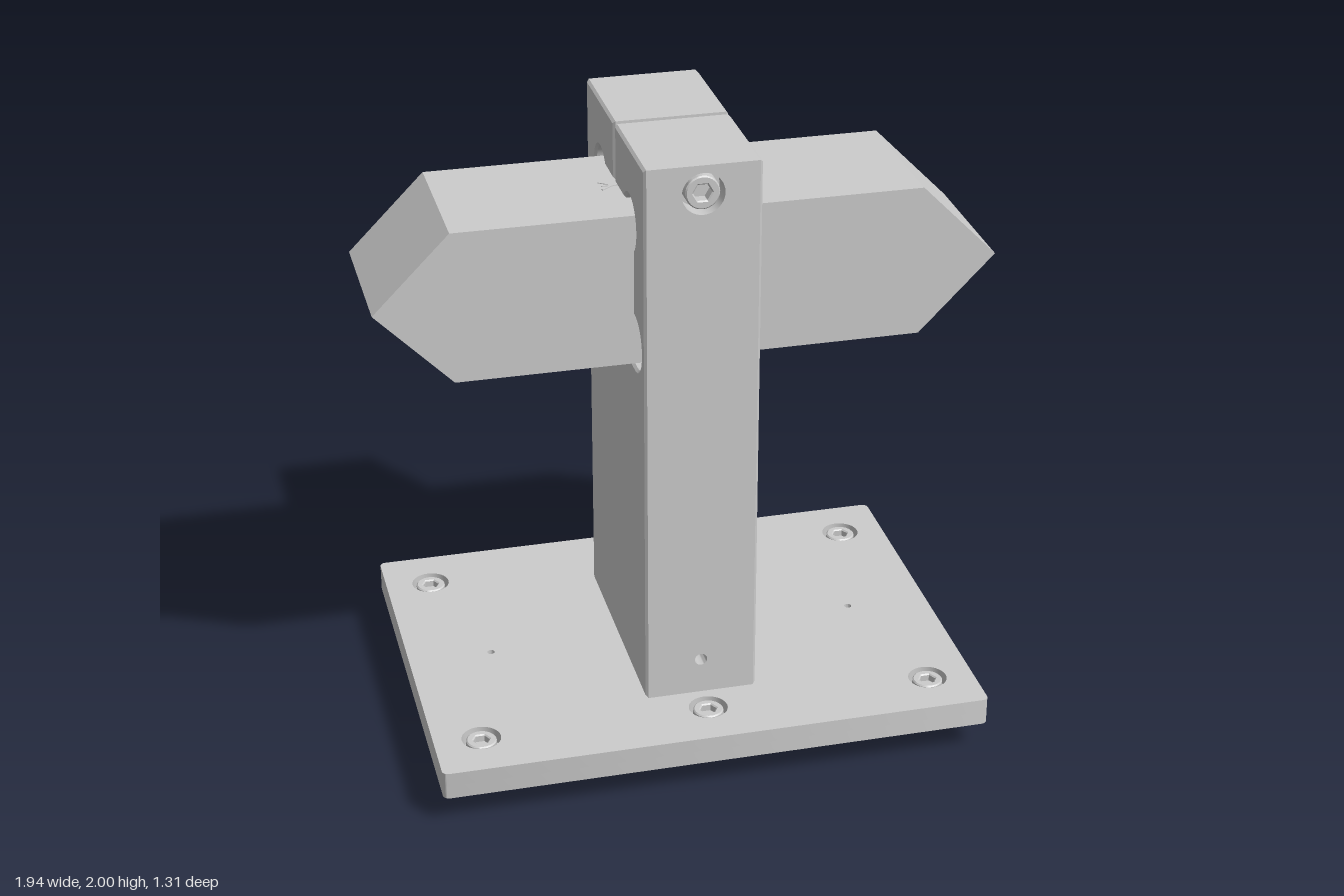
import * as THREE from 'three';
import { toCreasedNormals } from 'three/addons/utils/BufferGeometryUtils.js';

const grey = new THREE.MeshStandardMaterial({ color: 0xcccccc });
const greyDouble = new THREE.MeshStandardMaterial({ color: 0xcccccc, side: THREE.DoubleSide });

function add(parent, name, geometry, material = grey) {
  const mesh = new THREE.Mesh(geometry, material);
  mesh.name = name;
  parent.add(mesh);
  return mesh;
}

function circleHole(shape, x, y, r) {
  shape.holes.push(new THREE.Path().absarc(x, y, r, 0, Math.PI * 2, true));
}

function roundedRect(hx, hy, r) {
  const s = new THREE.Shape();
  s.absarc(hx - r, hy - r, r, 0, Math.PI / 2);
  s.absarc(-hx + r, hy - r, r, Math.PI / 2, Math.PI);
  s.absarc(-hx + r, -hy + r, r, Math.PI, Math.PI * 1.5);
  s.absarc(hx - r, -hy + r, r, Math.PI * 1.5, Math.PI * 2);
  s.closePath();
  return s;
}

// Socket-head screw along y; top of the head at y = 0
function socketScrew(name, headR, headH, shankR, length) {
  const g = new THREE.Group();
  g.name = name;
  const ring = new THREE.Shape().absarc(0, 0, headR, 0, Math.PI * 2);
  const hex = [];
  for (let i = 0; i < 6; i++) {
    const a = -i * Math.PI / 3;
    hex.push(new THREE.Vector2(Math.cos(a), Math.sin(a)).multiplyScalar(headR * 0.55));
  }
  ring.holes.push(new THREE.Path(hex).closePath());
  const b = 0.004;
  const head = new THREE.ExtrudeGeometry(ring, {
    depth: headH - 2 * b, bevelEnabled: true, bevelSize: b, bevelThickness: b,
    bevelOffset: -b, bevelSegments: 1, curveSegments: 16,
  });
  head.rotateX(-Math.PI / 2).translate(0, b - headH, 0);
  add(g, 'screwHead', toCreasedNormals(head, 0.5));
  const c = 0.006;
  const profile = [[0, -length], [shankR - c, -length], [shankR, -length + c], [shankR, -headH * 0.6], [0, -headH * 0.6]]
    .map(p => new THREE.Vector2(...p));
  add(g, 'screwShank', toCreasedNormals(new THREE.LatheGeometry(profile, 24), 0.5));
  return g;
}

// Blind hole lining, opening towards +z
function pocket(parent, name, r, depth, y, z) {
  const pts = [new THREE.Vector2(r, 0), new THREE.Vector2(r, -depth), new THREE.Vector2(0, -depth)];
  const geo = toCreasedNormals(new THREE.LatheGeometry(pts, 32), 0.5);
  add(parent, name, geo.rotateX(Math.PI / 2).translate(0, y, z), greyDouble);
}

function buildBase() {
  const base = new THREE.Group();
  base.name = 'base';
  const screws = [];
  for (const x of [-0.73, 0, 0.73]) for (const z of [-0.485, 0.485]) screws.push([x, z]);
  const underScrews = [];
  for (const x of [-0.118, 0.118]) for (const z of [-0.31, 0.31]) underScrews.push([x, z]);

  // Plate in two layers: counterbores open upwards in one, downwards in the other
  const top = roundedRect(0.88, 0.655, 0.02);
  const bottom = roundedRect(0.88, 0.655, 0.02);
  screws.forEach(([x, z]) => circleHole(top, x, z, 0.062));
  underScrews.forEach(([x, z]) => circleHole(bottom, x, z, 0.062));
  for (const s of [-1, 1]) {
    circleHole(top, s * 0.61, 0, 0.012);
    circleHole(bottom, 0, s * 0.245, 0.012);
  }
  [['plateTop', top, 0.145], ['plateBottom', bottom, 0.1]].forEach(([name, shape, y]) => {
    const geo = new THREE.ExtrudeGeometry(shape, { depth: 0.045, bevelEnabled: false, curveSegments: 16 });
    add(base, name, toCreasedNormals(geo.rotateX(-Math.PI / 2).translate(0, y, 0), 0.5));
  });

  // Mounting screws, column screws and locating pins
  screws.forEach(([x, z]) => {
    const s = socketScrew('mountingScrew', 0.048, 0.041, 0.03, 0.186);
    s.position.set(x, 0.186, z);
    base.add(s);
  });
  underScrews.forEach(([x, z]) => {
    const s = socketScrew('columnScrew', 0.048, 0.041, 0.03, 0.2);
    s.rotation.x = Math.PI;
    s.position.set(x, 0.104, z);
    base.add(s);
  });
  const pin = [[0, 0.035], [0.024, 0.035], [0.03, 0.041], [0.03, 0.14], [0, 0.14]].map(p => new THREE.Vector2(...p));
  for (const s of [-1, 1]) {
    add(base, 'locatingPin', toCreasedNormals(new THREE.LatheGeometry(pin, 24), 0.5)).position.x = s * 0.61;
  }
  return base;
}

function buildColumn() {
  const column = new THREE.Group();
  column.name = 'column';
  const H = 0.39, W = 0.18, bottom = 0.19, top = 2, slot = 0.011, b = 0.008;
  const deg = Math.PI / 180;

  // Side profile (z, y): clamp slot leading into a square window with relieved corners
  const p = new THREE.Shape();
  p.moveTo(-H, bottom);
  p.lineTo(H, bottom);
  p.lineTo(H, top);
  p.lineTo(slot, top);
  p.lineTo(slot, 1.81);
  p.absarc(0.2, 1.76, 0.085, 144 * deg, -54 * deg, true);
  p.absarc(0.265, 1.39, 0.085, 100 * deg, -90 * deg, true);
  p.absarc(-0.205, 1.35, 0.085, -32 * deg, -238 * deg, true);
  p.absarc(-0.2, 1.76, 0.085, -126 * deg, -324 * deg, true);
  p.lineTo(-slot, 1.81);
  p.lineTo(-slot, top);
  p.lineTo(-H, top);
  p.closePath();
  const geo = new THREE.ExtrudeGeometry(p, {
    depth: 2 * (W - b), bevelEnabled: true, bevelSize: b, bevelThickness: b,
    bevelOffset: -b, bevelSegments: 1, curveSegments: 20,
  });
  geo.translate(0, 0, b - W).rotateY(-Math.PI / 2);

  // Drop the flat front face so a drilled one can take its place
  const pos = geo.attributes.position, kept = [];
  for (let i = 0; i < pos.count; i += 3) {
    if ([0, 1, 2].every(k => pos.getZ(i + k) > H - 1e-4)) continue;
    for (let k = 0; k < 3; k++) kept.push(pos.getX(i + k), pos.getY(i + k), pos.getZ(i + k));
  }
  const body = new THREE.BufferGeometry();
  body.setAttribute('position', new THREE.Float32BufferAttribute(kept, 3));
  add(column, 'columnBody', toCreasedNormals(body, 0.5));

  const w = W - b;
  const face = new THREE.Shape([[-w, bottom], [w, bottom], [w, top], [-w, top]].map(q => new THREE.Vector2(...q)));
  circleHole(face, 0, 1.91, 0.066);
  circleHole(face, 0, 0.31, 0.02);
  add(column, 'columnFrontFace', new THREE.ShapeGeometry(face, 16).translate(0, 0, H));
  pocket(column, 'clampScrewCounterbore', 0.066, 0.07, 1.91, H);
  pocket(column, 'frontPilotHole', 0.02, 0.12, 0.31, H);

  // Clamp screw crossing the slot
  const screw = socketScrew('clampScrew', 0.053, 0.062, 0.036, 0.6);
  screw.rotation.x = Math.PI / 2;
  screw.position.set(0, 1.91, H - 0.008);
  column.add(screw);
  return column;
}

function buildBar() {
  const bar = new THREE.Group();
  bar.name = 'clampedBar';
  const outline = [[-0.97, 1.555], [-0.73, 1.31], [0.73, 1.31], [0.97, 1.555], [0.73, 1.798], [-0.73, 1.798]];
  const shape = new THREE.Shape(outline.map(q => new THREE.Vector2(...q)));
  add(bar, 'wedgeEndedBar', new THREE.ExtrudeGeometry(shape, { depth: 0.486, bevelEnabled: false }).translate(0, 0, -0.243));

  // Thin forked index mark on top of the bar
  const strip = (x1, z1, x2, z2) => {
    const m = add(bar, 'indexMark', new THREE.BoxGeometry(Math.hypot(x2 - x1, z2 - z1), 0.003, 0.007));
    m.position.set((x1 + x2) / 2, 1.799, (z1 + z2) / 2);
    m.rotation.y = -Math.atan2(z2 - z1, x2 - x1);
  };
  strip(-0.22, 0, -0.11, 0);
  for (const s of [-1, 1]) strip(-0.225, s * 0.03, -0.185, 0);
  return bar;
}

export function createModel() {
  const model = new THREE.Group();
  model.name = 'clampStand';
  model.add(buildBase(), buildColumn(), buildBar());
  return model;
}
